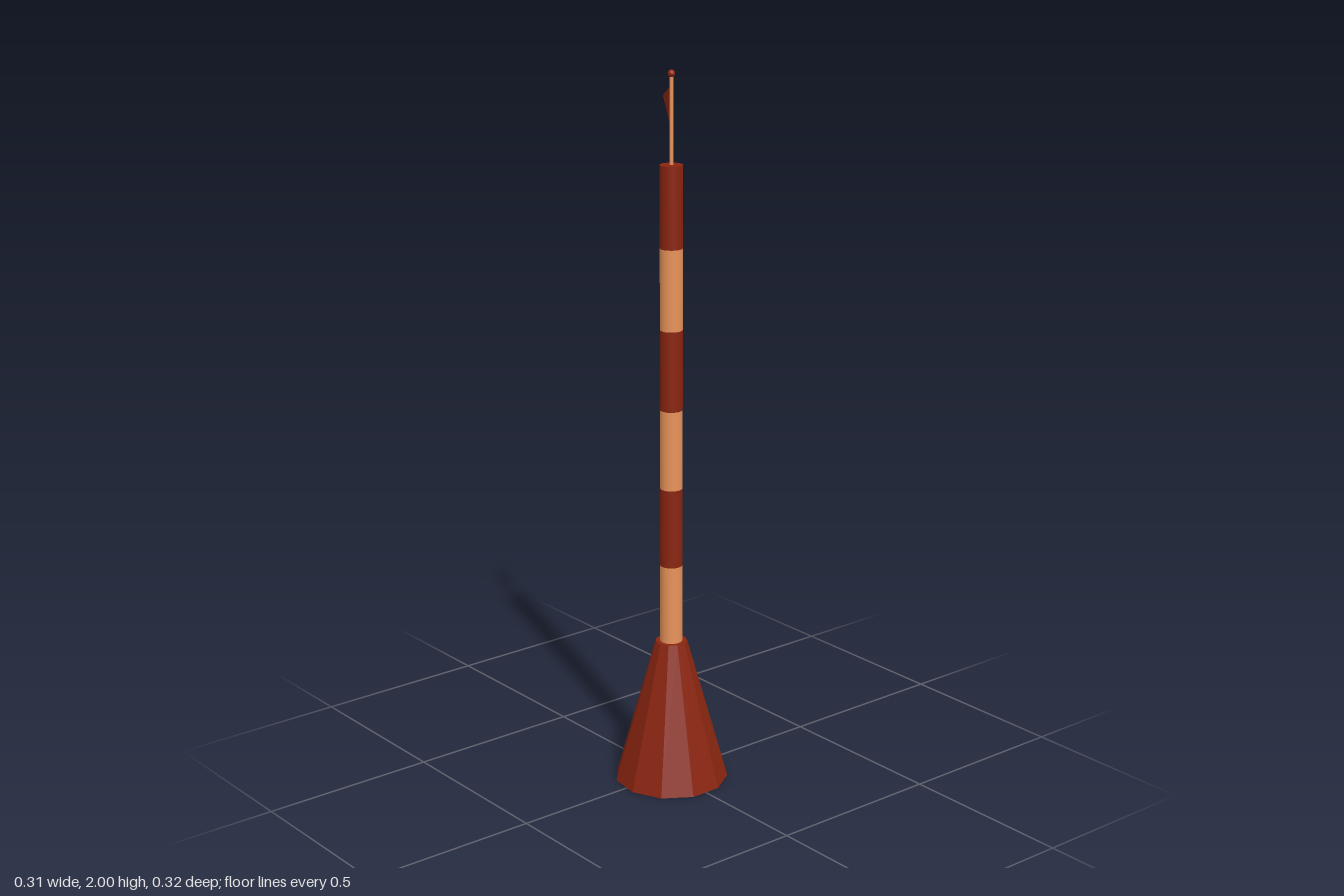
import * as THREE from 'three';

export function createModel() {
  const model = new THREE.Group();
  const axis = new THREE.Group(); // everything turns around one upright axis
  axis.name = 'stripedPole';
  axis.position.z = 0.009;
  model.add(axis);

  const red = new THREE.MeshStandardMaterial({ color: 0x8a2510 });
  const redFlat = new THREE.MeshStandardMaterial({ color: 0x8a2510, flatShading: true });
  const redThin = new THREE.MeshStandardMaterial({ color: 0x8a2510, side: THREE.DoubleSide });
  const tan = new THREE.MeshStandardMaterial({ color: 0xe8935a });

  function add(name, geometry, material, y = 0) {
    const mesh = new THREE.Mesh(geometry, material);
    mesh.name = name;
    mesh.position.y = y;
    axis.add(mesh);
    return mesh;
  }

  // Eleven-sided tapered foot with a tan underside
  const footHeight = 0.41;
  const foot = add('foot', new THREE.CylinderGeometry(0.0445, 0.159, footHeight, 11),
    [redFlat, redFlat, tan], footHeight / 2);
  foot.rotation.y = Math.PI;

  // Six stacked bands, tan and red in turn
  const bands = 6, poleTop = 1.75;
  const bandHeight = (poleTop - footHeight) / bands;
  for (let i = 0; i < bands; i++) {
    add('band' + (i + 1), new THREE.CylinderGeometry(0.031, 0.031, bandHeight, 24),
      i % 2 ? red : tan, footHeight + bandHeight * (i + 0.5));
  }

  // Flagstaff and its knob
  const staffHeight = 0.24;
  add('flagstaff', new THREE.CylinderGeometry(0.005, 0.005, staffHeight, 12), tan, poleTop + staffHeight / 2);
  add('knob', new THREE.SphereGeometry(0.01, 12, 8), red, 1.99);

  // Pennant pointing back and to the model's left
  const pennant = new THREE.Shape([
    new THREE.Vector2(0, 1.84),
    new THREE.Vector2(0.2, 1.9),
    new THREE.Vector2(0, 1.96),
  ]);
  const flag = add('pennant', new THREE.ShapeGeometry(pennant), redThin);
  flag.rotation.y = Math.atan2(0.169, 0.108);

  return model;
}
